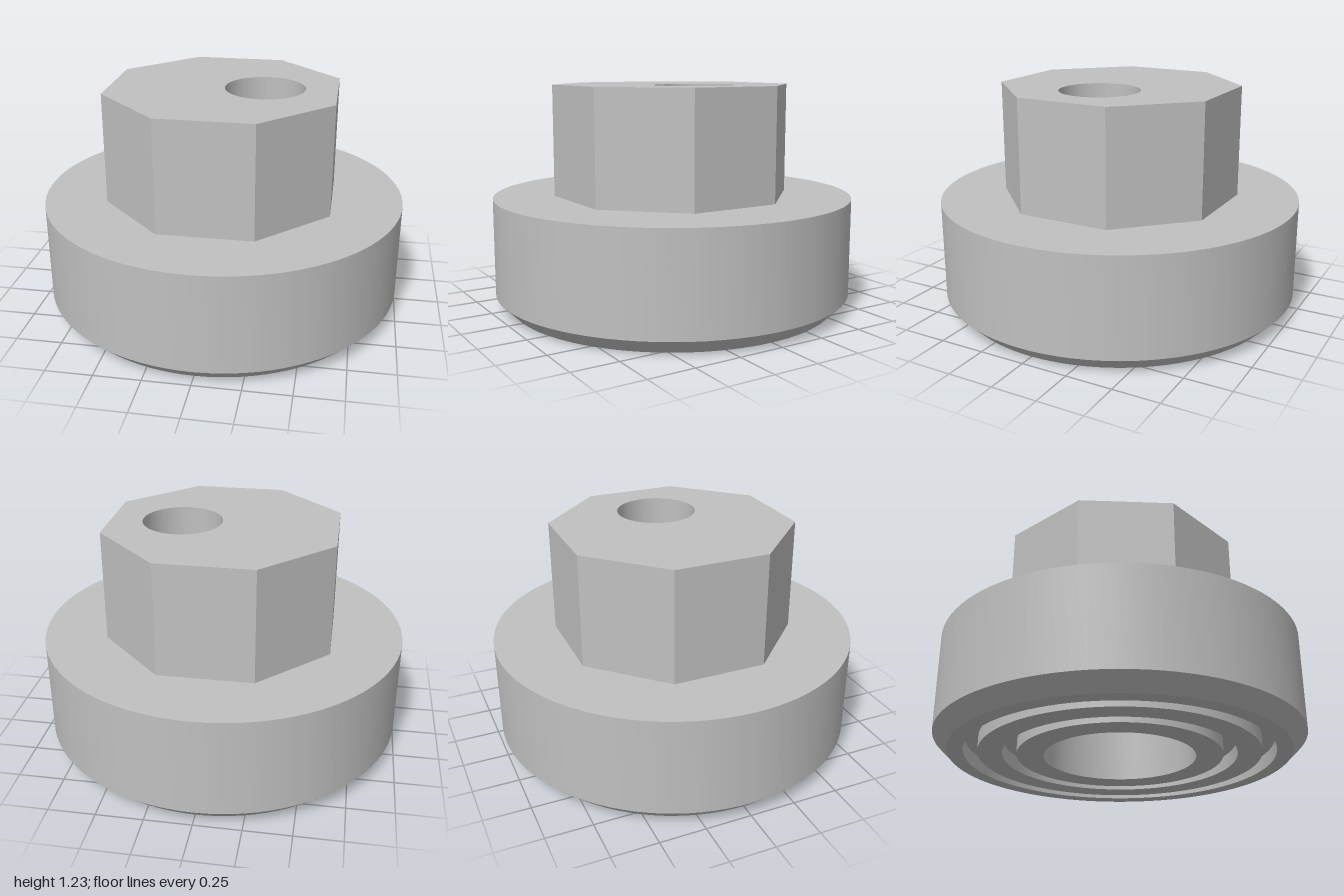
import * as THREE from 'three';
import { toCreasedNormals } from 'three/addons/utils/BufferGeometryUtils.js';

export function createModel() {
  const group = new THREE.Group();
  const metal = new THREE.MeshStandardMaterial({ color: 0xc0c0c0 });
  metal.name = 'plainGrey';

  const add = (name, geometry) => {
    const mesh = new THREE.Mesh(toCreasedNormals(geometry, 0.5), metal);
    mesh.name = name;
    group.add(mesh);
  };

  // Round base: blind bore and two ring grooves underneath, chamfered lower rim
  const baseTop = 0.615, grooveDepth = 0.08;
  const groove = (inner, outer) => [[inner, 0], [inner, grooveDepth], [outer, grooveDepth], [outer, 0]];
  const profile = [
    [0, 0.36], [0.41, 0.36], [0.41, 0],
    ...groove(0.555, 0.63),
    ...groove(0.76, 0.835),
    [0.92, 0], [1, 0.08], [1, baseTop], [0, baseTop],
  ].map(([r, y]) => new THREE.Vector2(r, y));
  add('base', new THREE.LatheGeometry(profile, 96));

  // Octagonal boss with an off-centre round hole that ends at the base
  const apothem = 0.613, height = 0.615;
  const radius = apothem / Math.cos(Math.PI / 8);
  const octagon = new THREE.Shape(Array.from({ length: 8 }, (_, i) => {
    const a = (i + 0.5) * Math.PI / 4;
    return new THREE.Vector2(radius * Math.cos(a), radius * Math.sin(a));
  }));
  octagon.holes.push(new THREE.Path().absarc(0.225, 0, 0.217, 0, Math.PI * 2, true));
  const boss = new THREE.ExtrudeGeometry(octagon, { depth: height, bevelEnabled: false, curveSegments: 48 });
  boss.rotateX(-Math.PI / 2).translate(0, baseTop, 0);
  add('octagonalBoss', boss);

  return group;
}
